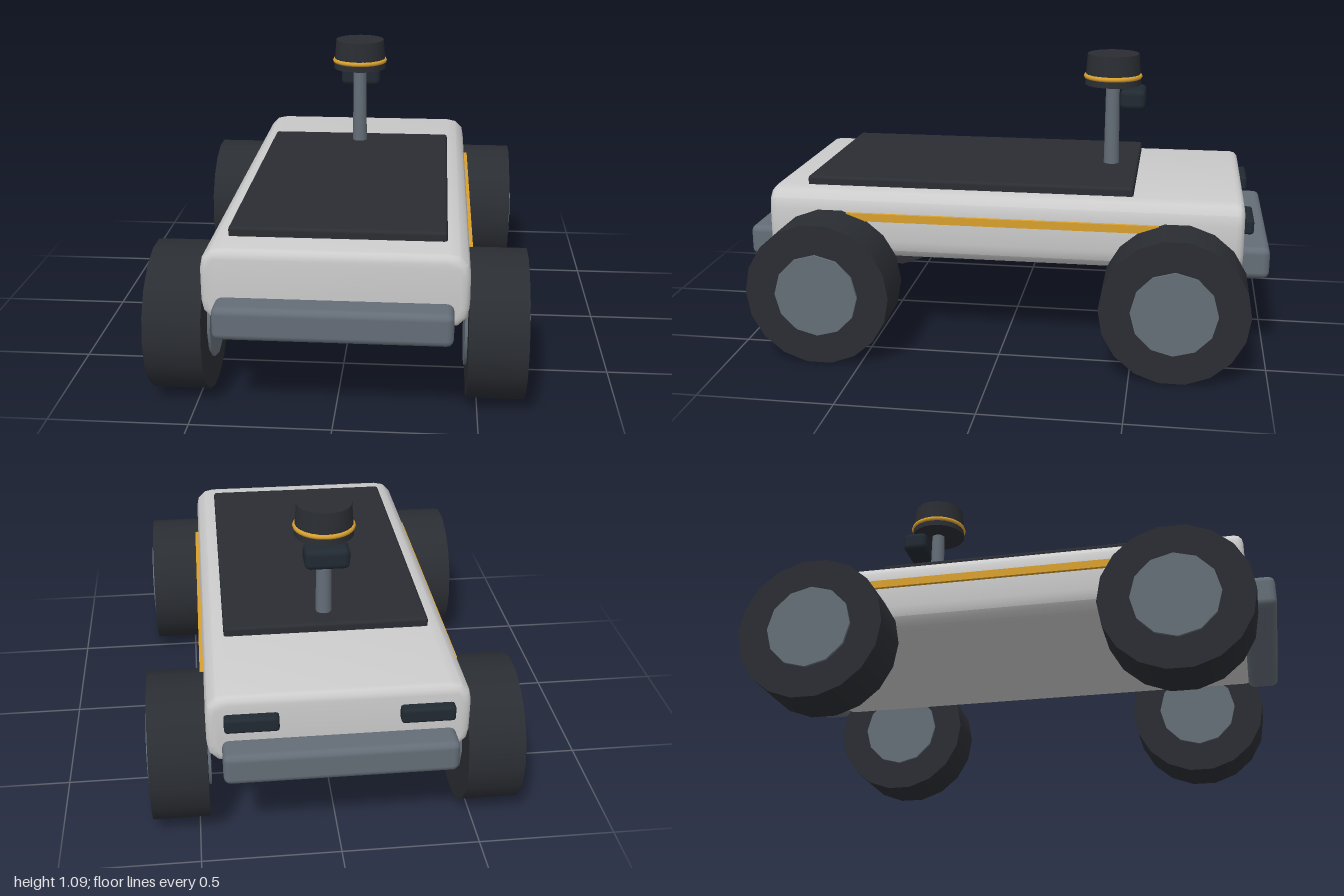
import * as THREE from 'three';
import { toCreasedNormals } from 'three/addons/utils/BufferGeometryUtils.js';
import { RoundedBoxGeometry } from 'three/addons/geometries/RoundedBoxGeometry.js';

const material = (color) => new THREE.MeshStandardMaterial({ color });

export function createModel() {
  const model = new THREE.Group();
  const shell = material(0xcccccc);
  const dark = material(0x2a2d32);
  const navy = material(0x212932);
  const slate = material(0x646d77);
  const amber = material(0xd9a02e);

  function add(name, geometry, mat, x, y, z, parent = model) {
    const mesh = new THREE.Mesh(geometry, mat);
    mesh.name = name;
    mesh.position.set(x, y, z);
    parent.add(mesh);
    return mesh;
  }
  const rounded = (w, h, d, r) => new RoundedBoxGeometry(w, h, d, 2, r);

  // Body: rounded cross-section extruded along z with softened ends
  const bevel = 0.03, w = 0.432, h = 0.104, r = 0.05;
  const section = new THREE.Shape();
  section.moveTo(-w + r, -h);
  section.lineTo(w - r, -h);
  section.quadraticCurveTo(w, -h, w, -h + r);
  section.lineTo(w, h - r);
  section.quadraticCurveTo(w, h, w - r, h);
  section.lineTo(-w + r, h);
  section.quadraticCurveTo(-w, h, -w, h - r);
  section.lineTo(-w, -h + r);
  section.quadraticCurveTo(-w, -h, -w + r, -h);
  const bodyGeometry = new THREE.ExtrudeGeometry(section, {
    depth: 1.8 - 2 * bevel, curveSegments: 3,
    bevelEnabled: true, bevelThickness: bevel, bevelSize: bevel, bevelSegments: 3,
  });
  bodyGeometry.translate(0, 0, -0.9 + bevel);
  add('body', toCreasedNormals(bodyGeometry, 0.6), shell, 0, 0.479, 0);

  // Deck panel on top
  add('deckPanel', rounded(0.764, 0.05, 1.255, 0.012), dark, 0, 0.621, 0.1375);

  // Bumpers at both ends
  for (const [name, s] of [['frontBumper', 1], ['rearBumper', -1]]) {
    add(name, rounded(0.818, 0.12, 0.12, 0.025), slate, 0, 0.381, s * 0.94);
  }

  // Mirrored parts: side stripes, rear lights and wheels
  const tireGeometry = new THREE.CylinderGeometry(0.272, 0.272, 0.206, 18).rotateZ(Math.PI / 2);
  const hubGeometry = new THREE.CylinderGeometry(0.157, 0.157, 0.226, 12).rotateZ(Math.PI / 2);
  for (const [side, s] of [['left', 1], ['right', -1]]) {
    add(side + 'Stripe', new THREE.BoxGeometry(0.025, 0.03, 1.18), amber, s * 0.463, 0.516, 0);
    add(side + 'RearLight', rounded(0.19, 0.058, 0.05, 0.012), navy, s * 0.305, 0.519, -0.911);
    for (const [end, e] of [['Front', 1], ['Rear', -1]]) {
      const wheel = new THREE.Group();
      wheel.name = side + end + 'Wheel';
      wheel.position.set(s * 0.563, 0.268, e * 0.657);
      add('tire', tireGeometry, dark, 0, 0, 0, wheel);
      add('hub', hubGeometry, slate, 0, 0, 0, wheel);
      model.add(wheel);
    }
  }

  // Mast with sensor head and rear-facing camera
  const mast = new THREE.Group();
  mast.name = 'sensorMast';
  mast.position.z = -0.382;
  model.add(mast);
  add('pole', new THREE.CylinderGeometry(0.027, 0.031, 0.36, 12), slate, 0, 0.8, 0, mast);
  add('sensorHead', new THREE.CylinderGeometry(0.102, 0.111, 0.122, 24), dark, 0, 1.028, 0, mast);
  add('sensorRing', new THREE.TorusGeometry(0.106, 0.01, 8, 32).rotateX(Math.PI / 2), amber, 0, 1, 0, mast);
  add('camera', rounded(0.166, 0.08, 0.1, 0.022), navy, 0, 0.917, -0.082, mast);

  return model;
}
